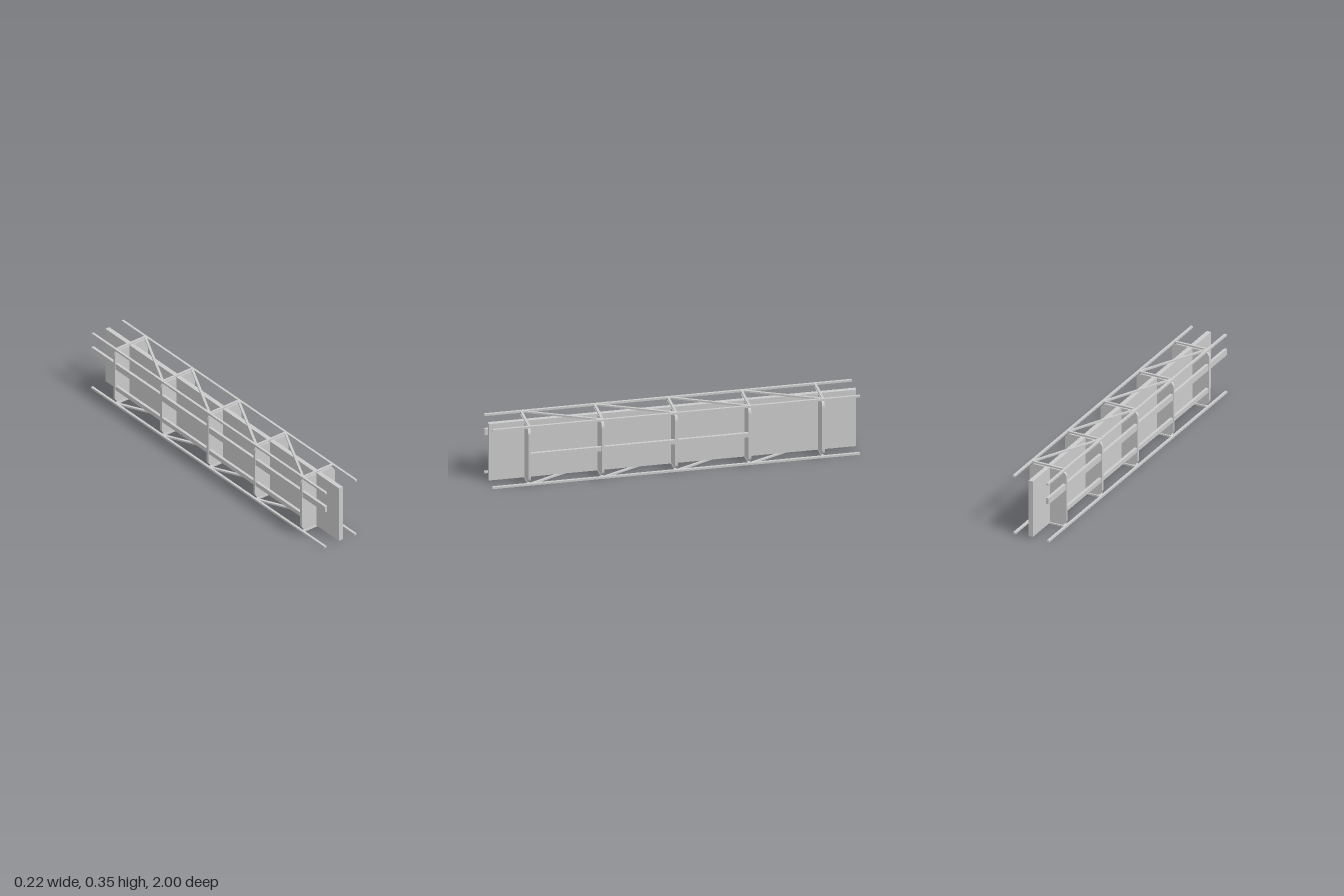
import * as THREE from 'three';

const mat = new THREE.MeshStandardMaterial({ color: 0xcccccc, flatShading: true });
const STATIONS = [0.8, 0.4, 0, -0.4, -0.8];

export function createModel() {
  const model = new THREE.Group();

  const add = (name, geometry, x, y, z) => {
    const mesh = new THREE.Mesh(geometry, mat);
    mesh.name = name;
    mesh.position.set(x, y, z);
    model.add(mesh);
    return mesh;
  };

  // Box given by its extents on each axis
  const bar = (name, [x0, x1], [y0, y1], [z0, z1]) =>
    add(name, new THREE.BoxGeometry(x1 - x0, y1 - y0, z1 - z0),
      (x0 + x1) / 2, (y0 + y1) / 2, (z0 + z1) / 2);

  // Flat strut running in the horizontal plane between two (x, z) points
  const strut = (name, x0, z0, x1, z1, y) => {
    const length = Math.hypot(x1 - x0, z1 - z0);
    const mesh = add(name, new THREE.BoxGeometry(0.013, 0.009, length),
      (x0 + x1) / 2, y, (z0 + z1) / 2);
    mesh.rotation.y = Math.atan2(x1 - x0, z1 - z0);
  };

  // Central web, full length
  bar('centralWeb', [-0.013, 0.013], [0.009, 0.34], [-1, 1]);

  // Rounded diaphragm plates
  const w = 0.112, h = 0.1605, r = 0.035;
  const outline = new THREE.Shape();
  outline.absarc(w - r, h - r, r, 0, Math.PI / 2);
  outline.absarc(-w + r, h - r, r, Math.PI / 2, Math.PI);
  outline.absarc(-w + r, -h + r, r, Math.PI, Math.PI * 1.5);
  outline.absarc(w - r, -h + r, r, Math.PI * 1.5, Math.PI * 2);
  const plate = new THREE.ExtrudeGeometry(outline, { depth: 0.015, bevelEnabled: false, curveSegments: 8 });
  plate.translate(0, 0, -0.0075);
  for (const z of STATIONS) add('diaphragmPlate', plate, 0, 0.1745, z);

  // Long chord rails above and below the plates
  bar('topRailRight', [-0.107, -0.093], [0.338, 0.349], [-1, 1]);
  bar('topRailLeft', [0.096, 0.109], [0.338, 0.349], [-1, 1]);
  bar('bottomRailRight', [-0.111, -0.098], [0, 0.011], [-1, 1]);
  bar('bottomRailLeft', [0.091, 0.105], [0, 0.011], [-1, 1]);

  // Cross bars at each plate and alternating diagonals in each bay
  const yTop = 0.3445, yBottom = 0.0045;
  STATIONS.forEach((z, i) => {
    strut('topCrossBar', -0.1, z, 0.1, z, yTop);
    strut('bottomCrossBar', -0.103, z, 0.098, z, yBottom);
    if (i === STATIONS.length - 1) return;
    const next = STATIONS[i + 1];
    strut('topDiagonal', -0.098, z, 0.098, next, yTop);
    strut('bottomDiagonal', 0.096, z, -0.1, next, yBottom);
  });

  // Side rails let into the plate edges
  bar('longSideRail', [-0.109, -0.093], [0.226, 0.262], [-1, 1]);
  bar('lowerSideRail', [-0.109, -0.093], [0.095, 0.12], [-0.8, 0.8]);
  bar('shortSideRail', [0.093, 0.109], [0.165, 0.19], [-0.4, 0.8]);

  return model;
}
